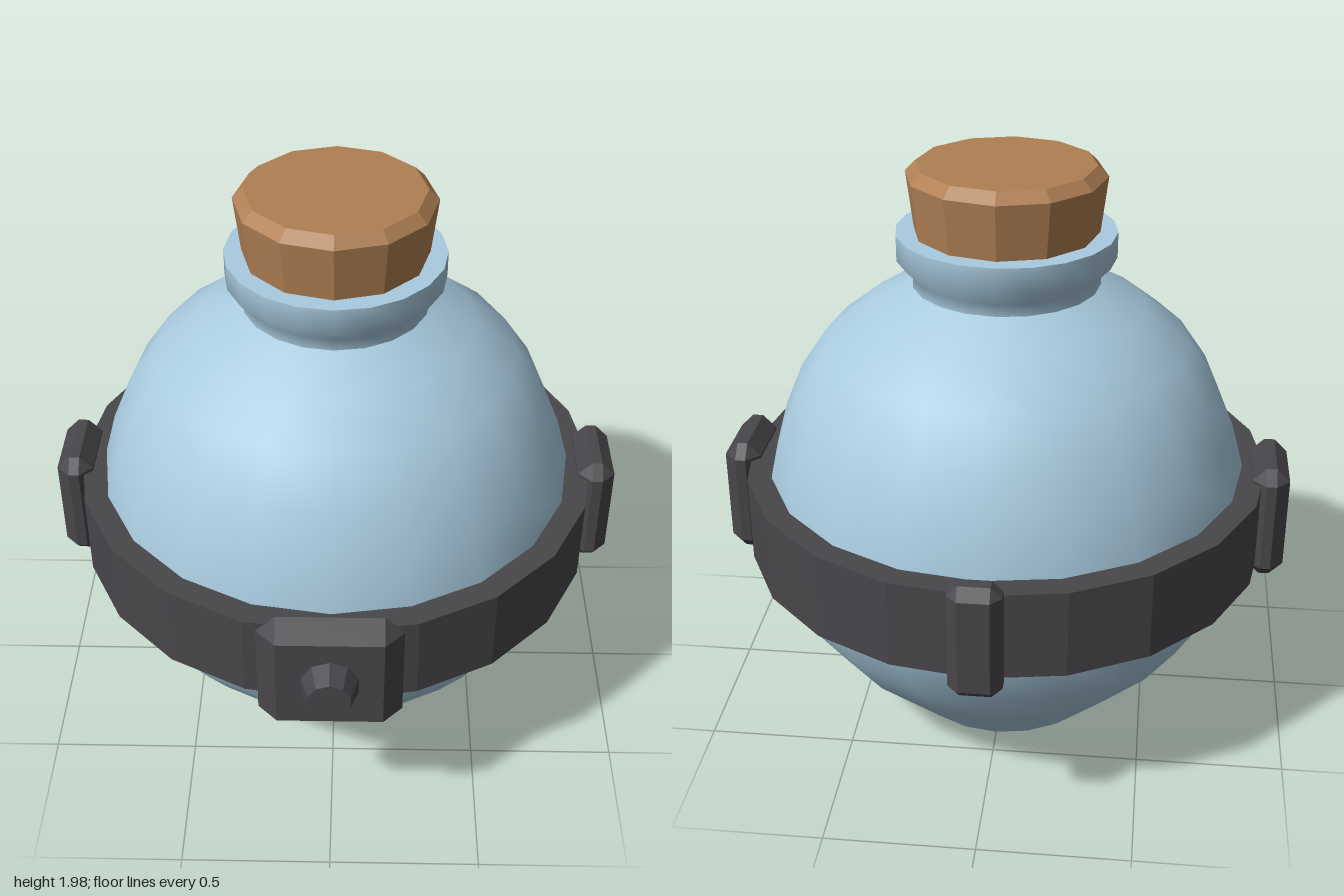
import * as THREE from 'three';
import { ConvexGeometry } from 'three/addons/geometries/ConvexGeometry.js';

const AXIS_Z = -0.045; // the flask sits slightly behind the centre because of the buckle knob

export function createModel() {
  const model = new THREE.Group();
  model.name = 'corkedFlask';

  const glass = new THREE.MeshStandardMaterial({ color: 0xa9cbdf });
  glass.name = 'paleBlueGlass';
  const corkMat = new THREE.MeshStandardMaterial({ color: 0xb08054, flatShading: true });
  corkMat.name = 'cork';
  const iron = new THREE.MeshStandardMaterial({ color: 0x48464a, flatShading: true });
  iron.name = 'darkIron';

  const add = (name, geometry, material, x, y, z) => {
    const mesh = new THREE.Mesh(geometry, material);
    mesh.name = name;
    mesh.position.set(x, y, z);
    model.add(mesh);
    return mesh;
  };
  // Profile [radius, height] turned about the flask axis
  const turned = (name, profile, sides, material) =>
    add(name, new THREE.LatheGeometry(profile.map(p => new THREE.Vector2(...p)), sides), material, 0, 0, AXIS_Z);

  // Box with every edge cut back by b
  const chamferBox = (w, h, d, b) => {
    const pts = [];
    for (const sx of [-1, 1]) for (const sy of [-1, 1]) for (const sz of [-1, 1]) {
      const X = w / 2, Y = h / 2, Z = d / 2;
      pts.push(
        new THREE.Vector3(sx * X, sy * (Y - b), sz * (Z - b)),
        new THREE.Vector3(sx * (X - b), sy * Y, sz * (Z - b)),
        new THREE.Vector3(sx * (X - b), sy * (Y - b), sz * Z));
    }
    return new ConvexGeometry(pts);
  };

  // Glass: base, round belly, neck and lip
  turned('base', [[0, 0], [0.355, 0]], 20, glass);
  turned('belly', [
    [0.355, 0], [0.635, 0.28], [0.75, 0.44], [0.812, 0.61], [0.832, 0.78], [0.812, 0.94],
    [0.77, 1.09], [0.705, 1.245], [0.61, 1.385], [0.465, 1.5], [0.31, 1.58],
  ], 20, glass);
  turned('neck', [[0.31, 1.57], [0.31, 1.62], [0.362, 1.675], [0.362, 1.76]], 20, glass);
  turned('lipTop', [[0.362, 1.76], [0.25, 1.76]], 20, glass);

  // Tapered cork with a chamfered top edge
  turned('cork', [[0, 1.7], [0.297, 1.7], [0.327, 1.945], [0.292, 1.98], [0, 1.98]], 12, corkMat);

  // Belt around the belly
  turned('belt', [[0.79, 0.63], [0.895, 0.63], [0.895, 0.93], [0.79, 0.93], [0.79, 0.63]], 20, iron);

  // Front buckle with its knob
  add('buckle', chamferBox(0.46, 0.455, 0.125, 0.0615), iron, 0, 0.78, 0.8625);
  const knob = add('buckleKnob', new THREE.CylinderGeometry(0.07, 0.1, 0.09, 10), iron, 0, 0.78, 0.955);
  knob.rotation.x = Math.PI / 2;

  // Side and back clasps
  for (const side of [-1, 1])
    add(side > 0 ? 'leftClasp' : 'rightClasp', chamferBox(0.125, 0.41, 0.31, 0.045), iron, side * 0.9075, 0.78, -0.048);
  add('backClasp', chamferBox(0.17, 0.395, 0.11, 0.035), iron, 0, 0.78, -0.945);

  return model;
}
